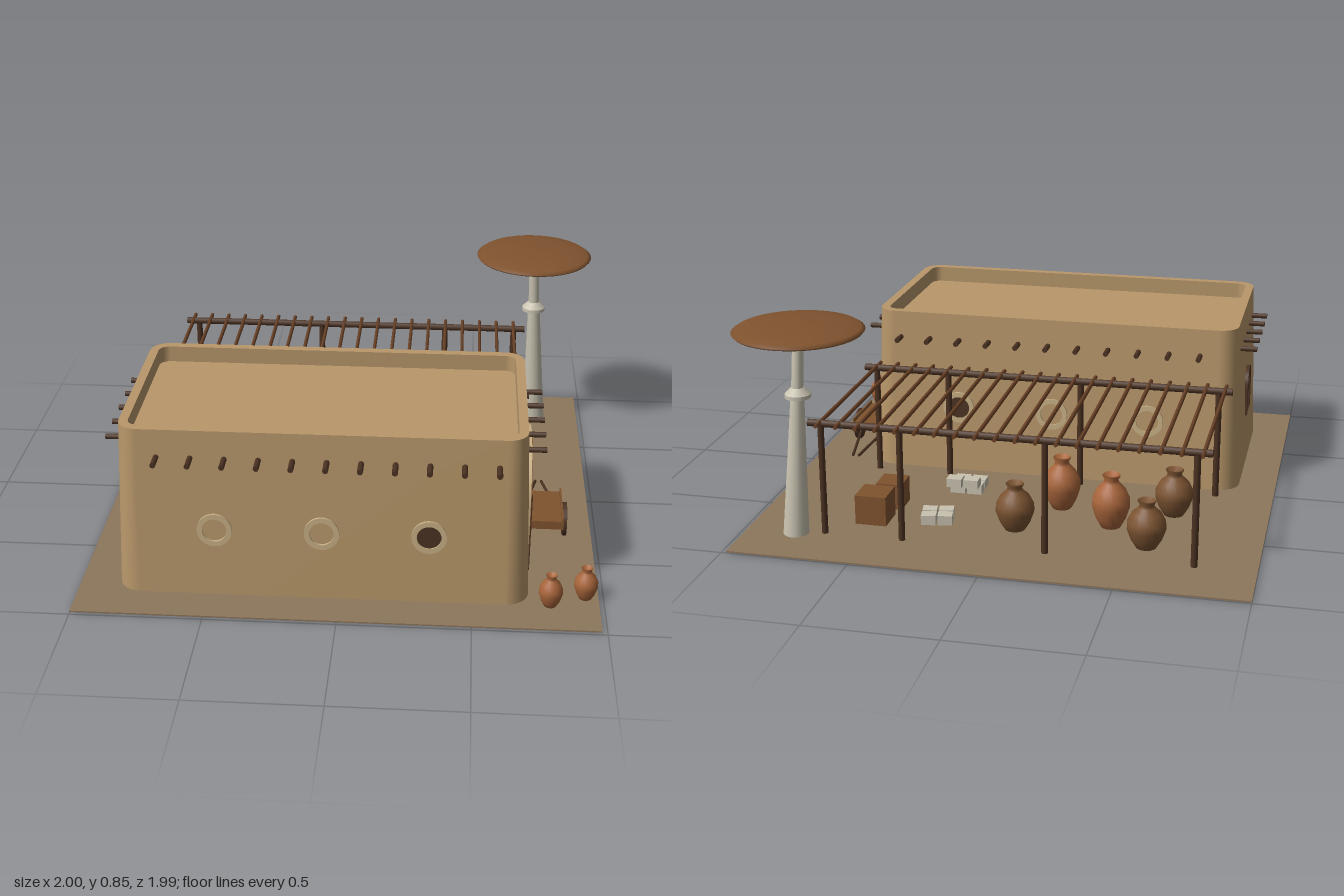
import * as THREE from 'three';

const mat = (name, color, side = THREE.FrontSide) => {
  const m = new THREE.MeshStandardMaterial({ color, side });
  m.name = name;
  return m;
};

export function createModel() {
  const root = new THREE.Group();
  const M = {
    adobe: mat('adobe', 0xb8976a),
    earth: mat('earth', 0x8d765c),
    trim: mat('pale trim', 0xc6ae83),
    plank: mat('plank', 0x80532f),
    dark: mat('dark wood', 0x4b3222),
    pole: mat('pole wood', 0x6a4126),
    clay: mat('terracotta', 0xa8653b),
    brownClay: mat('brown clay', 0x7b5331),
    stone: mat('pale stone', 0xc8c2b0),
  };
  const add = (name, geo, m, x = 0, y = 0, z = 0, parent = root) => {
    const mesh = new THREE.Mesh(geo, m);
    mesh.name = name;
    mesh.position.set(x, y, z);
    parent.add(mesh);
    return mesh;
  };
  const box = (name, m, w, h, d, x, y, z) => add(name, new THREE.BoxGeometry(w, h, d), m, x, y, z);
  // Round bar between two points
  const rod = (name, m, a, b, r0, r1 = r0, seg = 8) => {
    const p = new THREE.Vector3(...a), q = new THREE.Vector3(...b), dir = q.clone().sub(p);
    const mesh = add(name, new THREE.CylinderGeometry(r1, r0, dir.length(), seg), m);
    mesh.position.copy(p).add(q).multiplyScalar(0.5);
    mesh.quaternion.setFromUnitVectors(new THREE.Vector3(0, 1, 0), dir.normalize());
    return mesh;
  };

  box('ground', M.earth, 1.98, 0.006, 1.99, -0.01, 0.003, -0.005);

  // House: bands between rounded rectangles [halfX, halfZ, radius, y]
  const ring = ([hx, hz, r, y]) => {
    const pts = [];
    [[1, 1], [-1, 1], [-1, -1], [1, -1]].forEach(([sx, sz], k) => {
      for (let i = 0; i <= 6; i++) {
        const a = (k + i / 6) * Math.PI / 2;
        pts.push([sx * (hx - r) + r * Math.cos(a), y, sz * (hz - r) + r * Math.sin(a)]);
      }
    });
    return pts;
  };
  const band = (a, b) => {
    const lo = ring(a), up = ring(b), n = lo.length, idx = [];
    for (let i = 0; i < n; i++) {
      const j = (i + 1) % n;
      idx.push(i, n + i, j, j, n + i, n + j);
    }
    const g = new THREE.BufferGeometry();
    g.setAttribute('position', new THREE.Float32BufferAttribute([...lo, ...up].flat(), 3));
    g.setIndex(idx);
    g.computeVertexNormals();
    return g;
  };
  const sections = [
    [0.782, 0.418, 0.09, 0], [0.755, 0.393, 0.075, 0.685],
    [0.72, 0.357, 0.04, 0.685], [0.72, 0.357, 0.04, 0.62], [0, 0, 0, 0.62],
  ];
  ['walls', 'parapetTop', 'parapetInside', 'roof'].forEach((name, i) =>
    add(name, band(sections[i], sections[i + 1]), M.adobe, -0.067, 0, 0.418));

  // Roof beams poking through the walls
  for (let i = 0; i < 11; i++) {
    const x = -0.675 + i * 0.126;
    rod('roofBeam', M.dark, [x, 0.575, -0.04], [x, 0.575, 0.885], 0.011);
  }
  for (let i = 0; i < 5; i++) {
    const z = 0.16 + i * 0.125;
    rod('crossRoofBeam', M.dark, [-0.893, 0.575, z], [0.762, 0.575, z], 0.011);
  }

  // Arch outline, its base at y = 0
  const arch = (r, spring, Type = THREE.Shape) => {
    const s = new Type();
    s.moveTo(-r, 0);
    s.lineTo(r, 0);
    s.lineTo(r, spring);
    s.absarc(0, spring, r, 0, Math.PI, false);
    s.lineTo(-r, 0);
    return s;
  };
  const extrude = (s, depth) => new THREE.ExtrudeGeometry(s, { depth, bevelEnabled: false, curveSegments: 24 });

  // Round windows on both long walls; one on each side is open
  const hoop = new THREE.Shape().absarc(0, 0, 0.066, 0, Math.PI * 2, false);
  hoop.holes.push(new THREE.Path().absarc(0, 0, 0.046, 0, Math.PI * 2, true));
  for (const s of [1, -1]) {
    for (const x of [-0.467, -0.065, 0.335]) {
      const win = new THREE.Group();
      win.name = 'roundWindow';
      win.position.set(x, 0.283, 0.418 + s * 0.4077);
      win.rotation.set(-s * 0.036, s > 0 ? 0 : Math.PI, 0);
      root.add(win);
      add('windowRing', extrude(hoop, 0.02), M.trim, 0, 0, -0.01, win);
      if (x > 0.3) add('windowOpening', new THREE.CircleGeometry(0.047, 24), M.dark, 0, 0, 0.004, win);
    }
  }

  // Arched doorway with a low double gate
  const frame = arch(0.22, 0.32);
  frame.holes.push(arch(0.185, 0.33, THREE.Path));
  add('doorFrame', extrude(frame, 0.03), M.trim, 0.683, 0, 0.425).rotation.y = Math.PI / 2;
  add('door', extrude(arch(0.186, 0.33), 0.03), M.plank, 0.687, 0, 0.425).rotation.y = Math.PI / 2;
  for (const z of [0.354, 0.502]) box('gateLeaf', M.plank, 0.006, 0.335, 0.14, 0.719, 0.17, z);
  for (const z of [0.28, 0.428, 0.577]) box('gateStrip', M.dark, 0.006, 0.335, 0.007, 0.72, 0.17, z);

  // Arched window with bars on the far end wall
  const sideFrame = arch(0.075, 0.125);
  sideFrame.holes.push(arch(0.052, 0.125, THREE.Path));
  const side = new THREE.Group();
  side.name = 'sideWindow';
  side.position.set(-0.838, 0.22, 0.415);
  side.rotation.y = -Math.PI / 2;
  root.add(side);
  add('sideWindowFrame', extrude(sideFrame, 0.025), M.dark, 0, 0, -0.015, side);
  add('windowBar', new THREE.BoxGeometry(0.014, 0.19, 0.02), M.dark, 0, 0.098, -0.004, side);
  add('windowCrossbar', new THREE.BoxGeometry(0.13, 0.014, 0.02), M.dark, 0, 0.1, -0.004, side);

  // Pergola
  for (const z of [-0.058, -0.757]) {
    rod('pergolaBeam', M.dark, [-0.82, 0.457, z], [0.72, 0.457, z], 0.015);
    for (const x of [-0.765, -0.2, 0.36, 0.67]) rod('pergolaPost', M.dark, [x, 0, z], [x, 0.455, z], 0.013);
  }
  for (let i = 0; i < 20; i++) {
    const x = -0.79 + i * 0.0768;
    rod('pergolaSlat', M.pole, [x, 0.464, -0.815], [x, 0.464, -0.005], 0.008, 0.008, 6);
  }

  // Leaning column with a collar and a shallow domed canopy
  rod('columnBase', M.stone, [0.78, 0, -0.78], [0.757, 0.56, -0.757], 0.05, 0.026, 16);
  rod('columnTop', M.stone, [0.757, 0.56, -0.757], [0.746, 0.82, -0.748], 0.024, 0.02, 16);
  rod('collarLower', M.stone, [0.755, 0.555, -0.755], [0.755, 0.57, -0.755], 0.05, 0.05, 16);
  rod('collarUpper', M.stone, [0.755, 0.57, -0.755], [0.755, 0.595, -0.755], 0.05, 0.025, 16);
  const cap = [[0, 0], [0.243, 0], [0.25, 0.008], [0.235, 0.018], [0.18, 0.028], [0.1, 0.034], [0, 0.036]];
  add('canopy', new THREE.LatheGeometry(cap.map(p => new THREE.Vector2(...p)), 40), M.plank, 0.745, 0.81, -0.745);

  // Jars: unit profile scaled by radius and height
  const profile = [[0, 0], [0.5, 0], [0.78, 0.18], [0.98, 0.4], [0.97, 0.55], [0.75, 0.72],
    [0.42, 0.84], [0.36, 0.9], [0.47, 0.98], [0.42, 1], [0.3, 0.93], [0, 0.9]];
  const jar = (x, z, r, h, m) => add('jar', new THREE.LatheGeometry(
    profile.map(([a, b]) => new THREE.Vector2(a * r, b * h)), 20), m, x, 0.004, z);
  jar(0.795, 0.825, 0.046, 0.135, M.clay);
  jar(0.93, 0.765, 0.046, 0.135, M.clay);
  jar(-0.4, -0.455, 0.076, 0.22, M.clay);
  jar(-0.175, -0.31, 0.076, 0.22, M.clay);
  jar(-0.565, -0.62, 0.077, 0.195, M.brownClay);
  jar(-0.04, -0.56, 0.077, 0.195, M.brownClay);
  jar(-0.625, -0.285, 0.077, 0.195, M.brownClay);

  // Crates and stone blocks
  box('crate', M.plank, 0.125, 0.12, 0.125, 0.52, 0.065, -0.588);
  box('crate', M.plank, 0.105, 0.108, 0.11, 0.497, 0.058, -0.425);
  for (const x of [0.203, 0.272]) {
    for (const z of [-0.17, -0.232]) box('stoneBlock', M.stone, 0.062, 0.04, 0.055, x, 0.025, z);
    box('raisedStoneBlock', M.stone, 0.062, 0.036, 0.052, x, 0.072, -0.294);
  }
  for (const i of [0, 1]) for (const j of [0, 1]) {
    box('stoneBlock', M.stone, 0.058, 0.04, 0.05, 0.25 + i * 0.064 - j * 0.01, 0.025,
      -0.51 - j * 0.057 - i * 0.012).rotation.y = 0.18;
  }

  // Handcart
  box('cartBed', M.plank, 0.14, 0.035, 0.25, 0.788, 0.108, 0.28);
  for (const x of [0.721, 0.857]) box('cartSide', M.plank, 0.007, 0.05, 0.255, x, 0.115, 0.28);
  for (const x of [0.729, 0.87]) rod('cartWheel', M.dark, [x - 0.008, 0.072, 0.283], [x + 0.008, 0.072, 0.283], 0.068, 0.068, 20);
  rod('cartAxle', M.dark, [0.725, 0.072, 0.283], [0.875, 0.072, 0.283], 0.01);
  rod('cartHandle', M.dark, [0.72, 0.09, 0.18], [0.765, 0.055, -0.06], 0.006);
  rod('cartHandle', M.dark, [0.827, 0.09, 0.18], [0.79, 0.055, -0.06], 0.006);

  return root;
}
